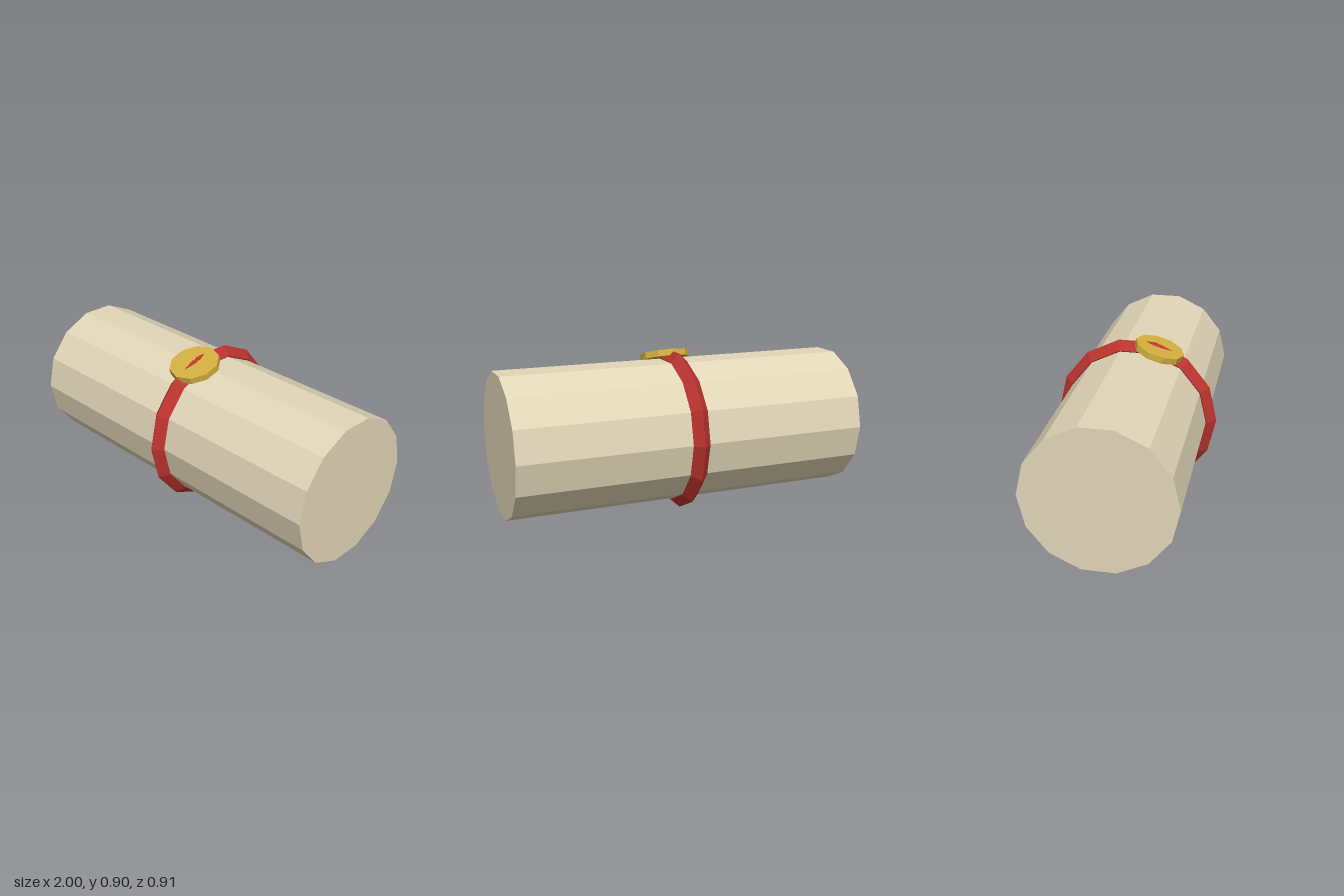
import * as THREE from 'three';

const flat = (name, color) => {
  const m = new THREE.MeshStandardMaterial({ color, flatShading: true });
  m.name = name;
  return m;
};

export function createModel() {
  const parchment = flat('parchment', 0xe2d6b8);
  const red = flat('red', 0xbb332e);
  const gold = flat('gold', 0xd4af3f);

  const model = new THREE.Group();
  model.name = 'sealedScroll';
  const add = (parent, name, geometry, material) => {
    const mesh = new THREE.Mesh(geometry, material);
    mesh.name = name;
    parent.add(mesh);
    return mesh;
  };

  const SIDES = 14, OUTER = 0.455, TUBE = 0.049;
  const axisY = OUTER * Math.cos(Math.PI / SIDES);

  // Rolled sheet, lying along x
  const roll = add(model, 'roll', new THREE.CylinderGeometry(0.4, 0.4, 2, SIDES), parchment);
  roll.rotation.z = Math.PI / 2;
  roll.position.y = axisY;

  // Ribbon with a diamond cross-section around the middle
  const ribbon = add(model, 'ribbon', new THREE.TorusGeometry(OUTER - TUBE, TUBE, 4, SIDES), red);
  ribbon.rotation.y = Math.PI / 2;
  ribbon.position.y = axisY;

  // Seal sits on the ribbon, leaning toward the front
  const tilt = 0.3, reach = 0.42;
  const seal = new THREE.Group();
  seal.name = 'seal';
  seal.position.set(0, axisY + reach * Math.cos(tilt), reach * Math.sin(tilt));
  seal.rotation.x = tilt;
  model.add(seal);

  add(seal, 'sealDisc', new THREE.CylinderGeometry(0.139, 0.139, 0.036, 10), gold);

  // Slender raised gem on the face of the seal
  const gem = add(seal, 'sealGem', new THREE.OctahedronGeometry(1), red);
  gem.scale.set(0.016, 0.012, 0.079);
  gem.position.y = 0.018;

  return model;
}
